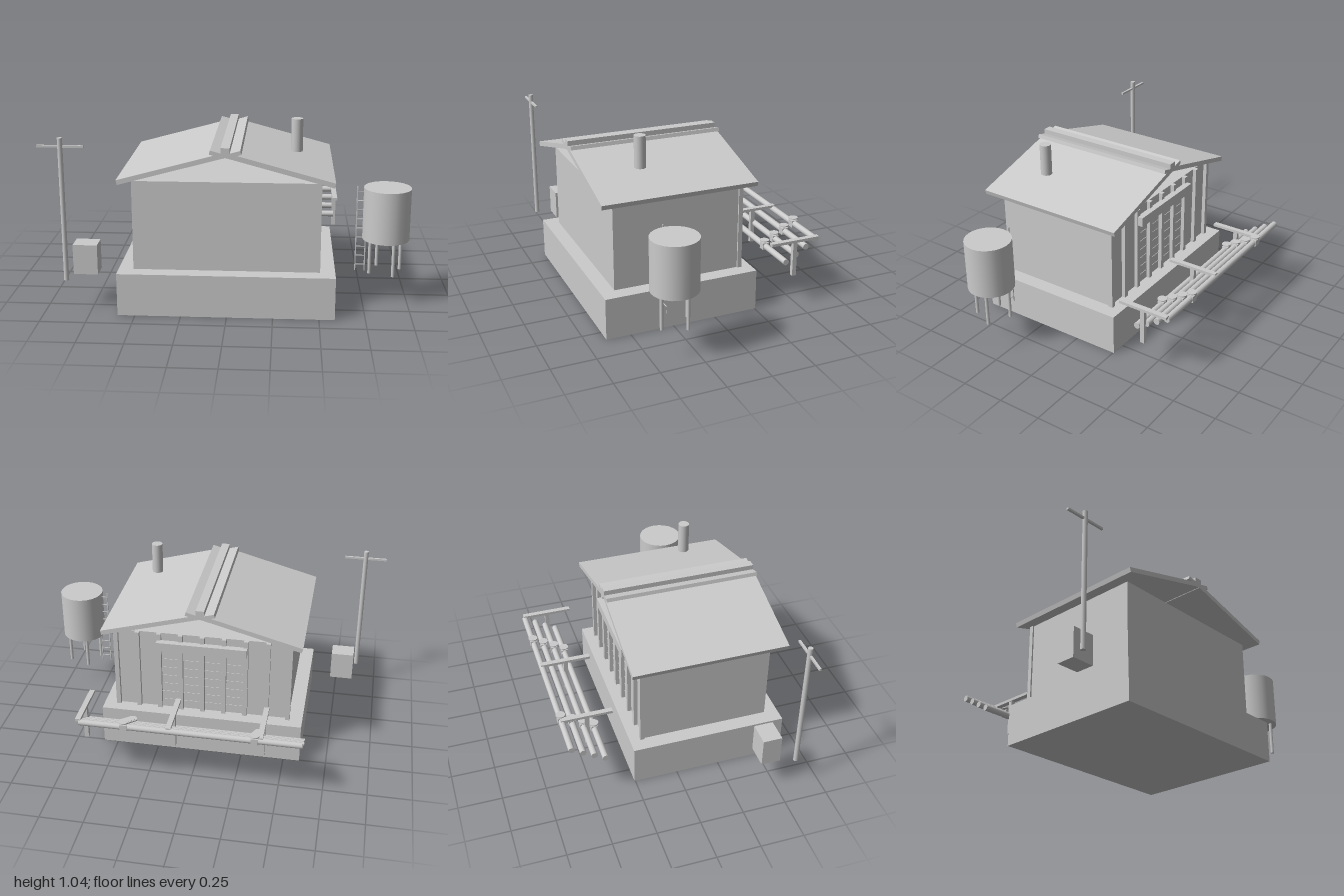
import * as THREE from 'three';

const grey = new THREE.MeshStandardMaterial({ color: 0xcccccc });

export function createModel() {
  const root = new THREE.Group();
  const C = -0.005; // centre line of the building

  function group(name, parent = root) {
    const g = new THREE.Group();
    g.name = name;
    parent.add(g);
    return g;
  }
  function add(name, geometry, x, y, z, parent = root) {
    const m = new THREE.Mesh(geometry, grey);
    m.name = name;
    m.position.set(x, y, z);
    parent.add(m);
    return m;
  }
  // box given by its minimum and maximum on each axis
  function box(name, x0, x1, y0, y1, z0, z1, parent) {
    return add(name, new THREE.BoxGeometry(x1 - x0, y1 - y0, z1 - z0),
      (x0 + x1) / 2, (y0 + y1) / 2, (z0 + z1) / 2, parent);
  }
  // upright cylinder from y0 to y1
  function post(name, r, x, y0, y1, z, parent, sides = 16) {
    return add(name, new THREE.CylinderGeometry(r, r, y1 - y0, sides), x, (y0 + y1) / 2, z, parent);
  }
  // horizontal cylinder along x
  function rod(name, r, x0, x1, y, z, parent, sides = 16) {
    const m = add(name, new THREE.CylinderGeometry(r, r, x1 - x0, sides), (x0 + x1) / 2, y, z, parent);
    m.rotation.z = Math.PI / 2;
    return m;
  }

  // plinth and main hall
  box('foundation', C - 0.59, C + 0.59, 0, 0.238, -0.255, 0.64);
  box('walls', C - 0.508, C + 0.508, 0.24, 0.738, -0.175, 0.56);

  // back wall: battens, slats and lintel
  const back = group('backWall');
  for (let i = 0; i < 9; i++) {
    const x = C + (i - 4) * 0.126;
    box('batten', x - 0.013, x + 0.013, 0.24, 0.738, -0.197, -0.172, back);
  }
  for (let i = 0; i < 7; i++) {
    const y = 0.29 + i * 0.055;
    box('slat', C - 0.25, C + 0.25, y, y + 0.004, -0.178, -0.172, back);
  }
  box('lintel', C - 0.26, C + 0.26, 0.645, 0.7, -0.227, -0.19, back);

  // pitched roof with open gables
  const roof = group('roof');
  const halfSpan = 0.572, drop = 0.155, thick = 0.027;
  const slope = Math.atan2(drop, halfSpan);
  for (const s of [-1, 1]) {
    const slab = add('roofSlab', new THREE.BoxGeometry(Math.hypot(halfSpan, drop), thick, 0.895),
      C + s * halfSpan / 2, 0.905 - drop / 2, 0.1925, roof);
    slab.rotation.z = -s * slope;
    // upturned strip beside the ridge
    const strip = add('ridgeStrip', new THREE.BoxGeometry(0.082, 0.022, 0.895),
      C + s * 0.042, 0.908, 0.1925, roof);
    strip.rotation.z = s * slope;
  }
  box('ridgeBeam', C - 0.024, C + 0.024, 0.895, 0.943, -0.255, 0.64, roof);
  post('chimney', 0.032, 0.367, 0.865, 1.045, 0.35, root, 20);

  // water tank on four legs, with its ladder
  const tower = group('waterTower');
  const tx = 0.867, tz = 0.365;
  post('tank', 0.13, tx, 0.378, 0.67, tz, tower, 24);
  for (const [dx, dz] of [[0.088, -0.037], [0.037, 0.088], [-0.088, 0.037], [-0.037, -0.088]]) {
    post('tankLeg', 0.0095, tx + dx, 0.185, 0.385, tz + dz, tower, 10);
  }
  const ladder = group('ladder', tower);
  for (const x of [0.703, 0.755]) box('ladderRail', x - 0.003, x + 0.003, 0.185, 0.67, 0.357, 0.363, ladder);
  for (let i = 0; i < 9; i++) rod('ladderRung', 0.003, 0.703, 0.755, 0.22 + i * 0.053, 0.36, ladder, 6);

  // utility pole and cabinet
  const pole = group('utilityPole');
  post('poleShaft', 0.014, -0.875, 0.185, 0.978, 0.602, pole, 12);
  box('crossArm', -1, -0.75, 0.926, 0.938, 0.596, 0.608, pole);
  box('cabinet', -0.855, -0.72, 0.185, 0.355, 0.405, 0.515);

  // pipe rack behind the building
  const rack = group('pipeRack');
  for (const x of [-0.4, 0.107, 0.617]) {
    box('rackPost', x - 0.012, x + 0.012, 0.185, 0.39, -0.485, -0.46, rack);
    box('rackBeam', x - 0.015, x + 0.015, 0.387, 0.403, -0.622, -0.325, rack);
  }
  for (let i = 0; i < 4; i++) {
    const z = -0.427 - i * 0.0623, y = 0.268 + i * 0.037;
    rod('pipe', 0.018, -0.63, 0.613, y, z, rack);
    // valves with handwheels
    for (const x of [-0.37, 0.357]) {
      box('valveBody', x - 0.02, x + 0.02, y - 0.02, y + 0.02, z - 0.019, z + 0.019, rack);
      post('valveStem', 0.005, x, y + 0.015, y + 0.033, z, rack, 8);
      post('handwheel', 0.027, x, y + 0.03, y + 0.036, z, rack, 20);
    }
  }
  return root;
}
